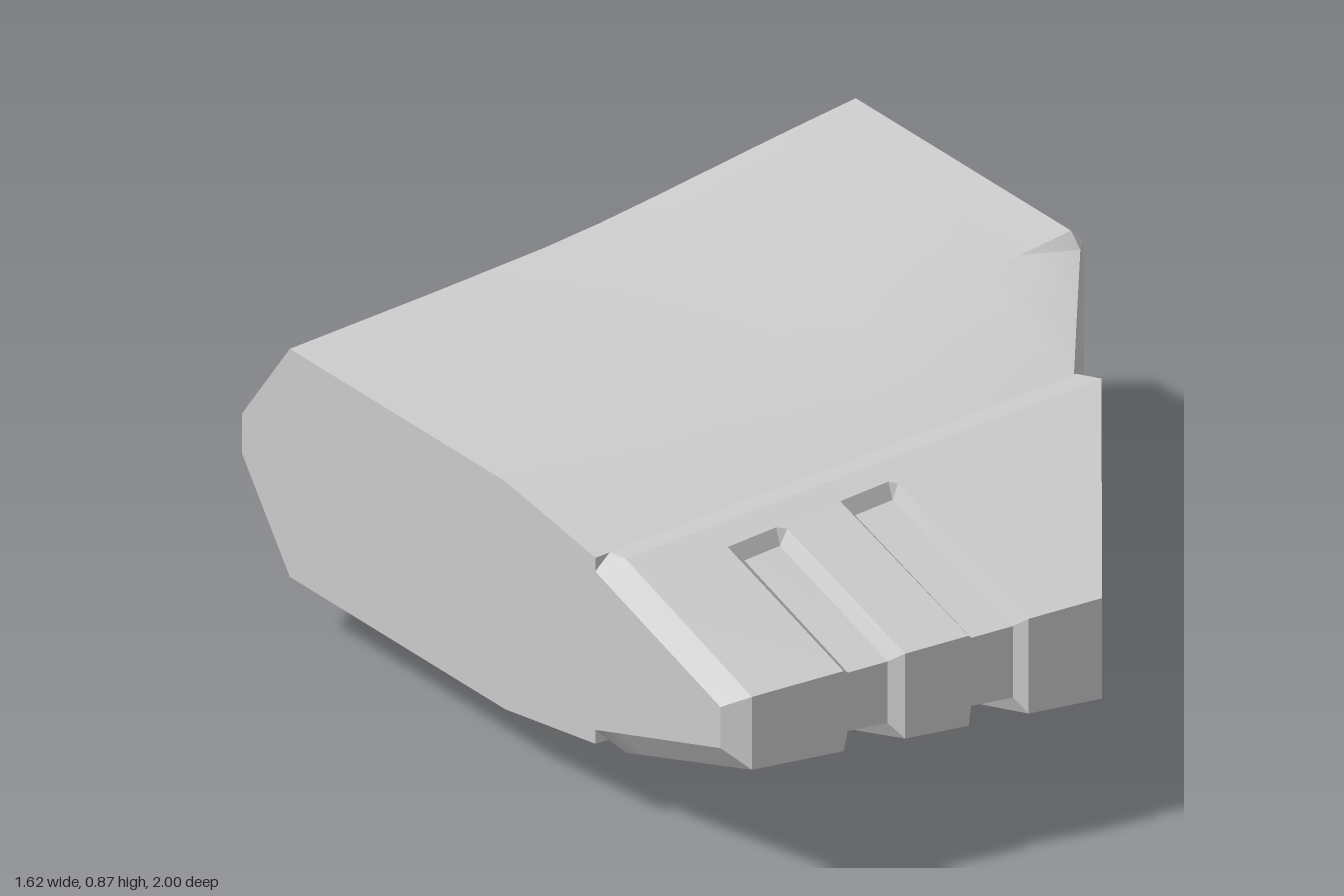
import * as THREE from 'three';
import { toCreasedNormals } from 'three/addons/utils/BufferGeometryUtils.js';

const MID = 0.437; // height of the symmetry plane
const lerp = THREE.MathUtils.lerp;

// Skin sections along x. Each section lists [z, halfHeight] from back to front
// and is mirrored about the middle plane; both ends are capped.
function loft(sections) {
  const loops = sections.map(({ x, pts }) => {
    const top = pts.map(([z, h]) => new THREE.Vector3(x, MID + h, z));
    const bottom = pts.map(([z, h]) => new THREE.Vector3(x, MID - h, z)).reverse();
    return [...top, ...bottom];
  });
  const pos = [];
  const tri = (a, b, c) => {
    if (new THREE.Triangle(a, b, c).getArea() > 1e-7) {
      for (const v of [a, b, c]) pos.push(v.x, v.y, v.z);
    }
  };
  const quad = (a, b, c, d) => { tri(a, b, c); tri(a, c, d); };
  const n = loops[0].length;
  for (let s = 0; s < loops.length - 1; s++) {
    const a = loops[s], b = loops[s + 1];
    for (let i = 0; i < n; i++) {
      const j = (i + 1) % n;
      quad(a[i], a[j], b[j], b[i]);
    }
  }
  const first = loops[0], last = loops[loops.length - 1];
  for (let i = 0; i < n / 2 - 1; i++) {
    quad(last[n - 1 - i], last[i], last[i + 1], last[n - 2 - i]);
    quad(first[i], first[n - 1 - i], first[n - 2 - i], first[i + 1]);
  }
  const geo = new THREE.BufferGeometry();
  geo.setAttribute('position', new THREE.Float32BufferAttribute(pos, 3));
  return toCreasedNormals(geo, 0.4);
}

// Main block: flares towards +x, with a wedge-shaped back and a sloping front
function bodyGeometry() {
  const flare = [[-0.81, 0.288], [-0.4, 0.307], [-0.1, 0.324], [0.05, 0.338], [0.2, 0.357],
    [0.53, 0.403], [0.63, 0.416]];
  const sections = flare.map(([x, h]) => {
    const cut = Math.max(0, (x - 0.53) / 0.24);
    const frontHalf = lerp(0.235, 0.283, (x + 0.81) / 1.34);
    return {
      x,
      pts: [[-1, 0.05], [-0.82, h], [-0.01, h],
        [lerp(0.33, 0.03, cut), cut > 0 ? lerp(0.283, 0.4, cut) : frontHalf]],
    };
  });
  // bevelled +x end
  sections.push({ x: 0.775, pts: [[-0.855, 0.38], [-0.82, 0.434], [-0.01, 0.434], [0.025, 0.4]] });
  sections.push({ x: 0.81, pts: [[-0.815, 0.4], [-0.815, 0.4], [-0.01, 0.4], [-0.01, 0.4]] });
  return loft(sections);
}

// Front wedge: two slots run over its top, front and underside
function wedgeGeometry() {
  const section = (x, depth = 0) => {
    const t = (x + 0.77) / 0.88, u = (x + 0.77) / 1.31;
    const zPeak = lerp(0.39, 0.42, u), hPeak = lerp(0.245, 0.31, u);
    const zFront = lerp(0.865, 1, t), hFront = lerp(0.092, 0.127, t);
    const slope = (z) => lerp(hPeak, hFront, (z - zPeak) / (zFront - zPeak));
    return {
      x,
      pts: [[0.325, lerp(0.236, 0.283, u)], [zPeak, hPeak], [0.465, slope(0.465)],
        [0.48, slope(0.48) - depth], [zFront - depth, hFront - depth * 0.8]],
    };
  };
  const slot = (x0, x1, x2, x3) => [section(x0), section(x1, 0.036), section(x2, 0.036), section(x3)];
  return loft([
    { x: -0.81, pts: [[0.32, 0.2], [0.33, 0.2], [0.43, 0.168], [0.45, 0.162], [0.8, 0.052]] },
    section(-0.77),
    ...slot(-0.54, -0.505, -0.405, -0.385),
    ...slot(-0.225, -0.195, -0.09, -0.075),
    section(0.11),
    { x: 0.54, pts: [[0.325, 0.283], [0.42, 0.31], [0.42, 0.31], [0.42, 0.31], [0.42, 0.31]] },
  ]);
}

export function createModel() {
  const group = new THREE.Group();
  const material = new THREE.MeshStandardMaterial({ color: 0xcccccc });
  const add = (name, geometry) => {
    const mesh = new THREE.Mesh(geometry, material);
    mesh.name = name;
    group.add(mesh);
  };
  add('body', bodyGeometry());
  add('slottedFrontWedge', wedgeGeometry());
  return group;
}
